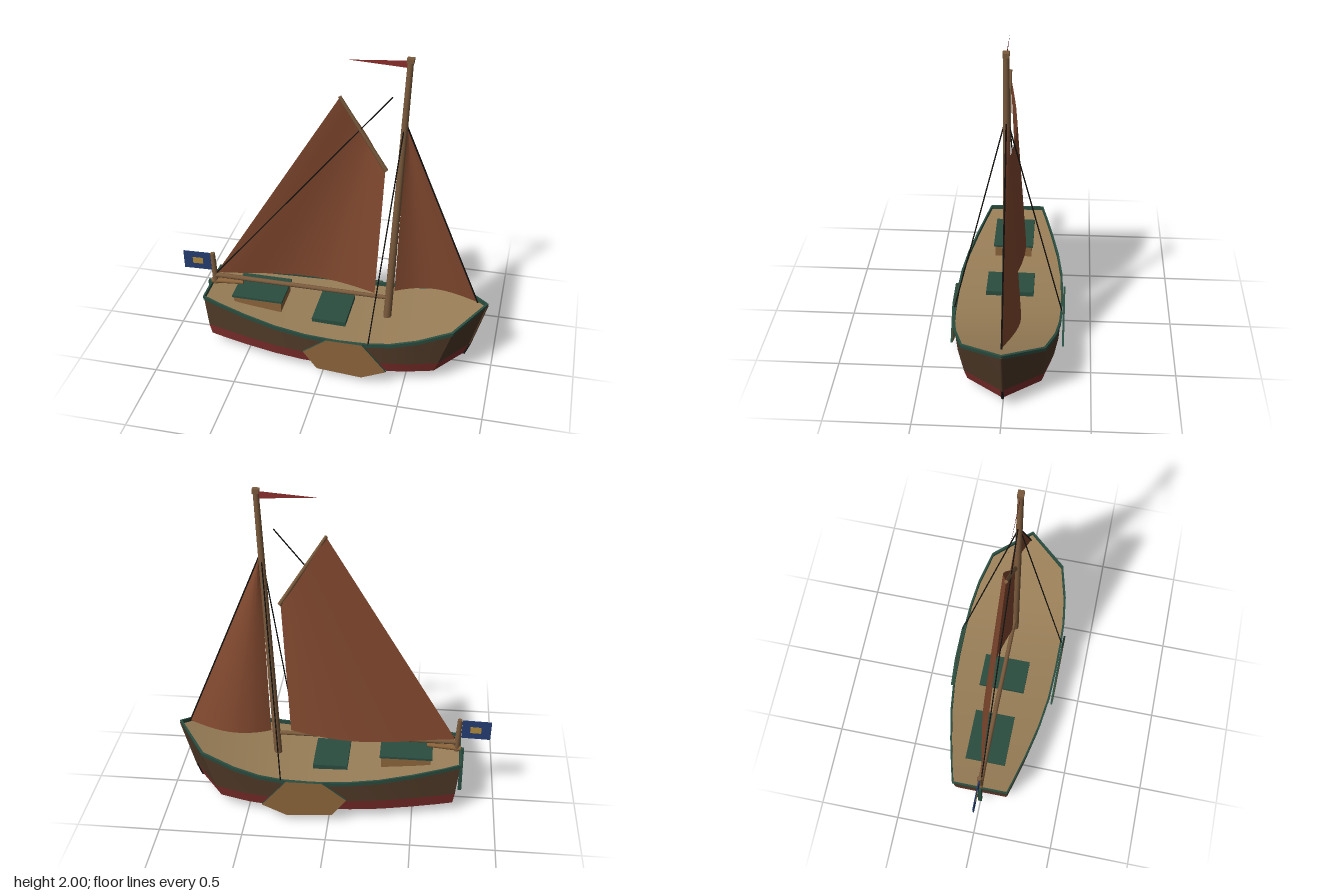
import * as THREE from 'three';
import { toCreasedNormals } from 'three/addons/utils/BufferGeometryUtils.js';

const V = (x, y, z = 0) => new THREE.Vector3(x, y, z);
const mat = (color) => new THREE.MeshStandardMaterial({ color, side: THREE.DoubleSide });
const M = {
  hull: mat(0x503a28), red: mat(0x82302d), black: mat(0x191817), deck: mat(0x9a7f58),
  green: mat(0x2a4d40), wood: mat(0x8b633a), spar: mat(0x7a5a3c), sail: mat(0x82492f),
  rope: mat(0x14120f), blue: mat(0x243c70), gold: mat(0xb08a3e), pennant: mat(0x8c2e2c),
};

// Hull stations from stern to bow: deck x, half breadth, sheer height
const STATIONS = [
  [-0.78, 0.172, 0.36], [-0.68, 0.2, 0.343], [-0.5, 0.245, 0.318], [-0.3, 0.287, 0.296],
  [-0.1, 0.313, 0.283], [0.1, 0.32, 0.278], [0.28, 0.32, 0.284], [0.42, 0.313, 0.3],
  [0.58, 0.29, 0.335], [0.775, 0.235, 0.39], [0.95, 0, 0.46],
];

export function createModel() {
  const boat = new THREE.Group();
  boat.name = 'sailingBarge';

  const add = (name, geometry, material, x = 0, y = 0, z = 0) => {
    const mesh = new THREE.Mesh(geometry, material);
    mesh.name = name;
    mesh.position.set(x, y, z);
    boat.add(mesh);
    return mesh;
  };
  const box = (name, material, w, h, d, x, y, z = 0) =>
    add(name, new THREE.BoxGeometry(w, h, d), material, x, y, z);

  // Tapered round bar between two points
  const bar = (name, material, a, b, r0, r1 = r0, sides = 10) => {
    const mid = a.clone().add(b).multiplyScalar(0.5);
    const mesh = add(name, new THREE.CylinderGeometry(r1, r0, a.distanceTo(b), sides), material, mid.x, mid.y, mid.z);
    mesh.quaternion.setFromUnitVectors(V(0, 1, 0), b.clone().sub(a).normalize());
    return mesh;
  };

  // Surface through rows of points
  const surface = (rows, crease = 0.6) => {
    const n = rows[0].length, index = [];
    for (let j = 0; j < rows.length - 1; j++) {
      for (let i = 0; i < n - 1; i++) {
        const a = j * n + i, b = a + n;
        index.push(a, a + 1, b + 1, a, b + 1, b);
      }
    }
    const g = new THREE.BufferGeometry().setFromPoints(rows.flat());
    g.setIndex(index);
    g.computeVertexNormals();
    return toCreasedNormals(g, crease);
  };

  // One waterline of the hull, as points down one side
  const side = (x0, x1, k, height, s = 1) => STATIONS.map(([x, w, sheer]) => {
    const t = (x + 0.78) / 1.73;
    return V(x0 + (x1 - x0) * t, height(sheer, 1 - (2 * t - 1) ** 2), s * w * k);
  });
  // Loop from the bow round the stern and back to the bow
  const loop = (...a) => [...side(...a).reverse(), ...side(...a, -1)];

  const sheerLine = loop(-0.78, 0.95, 1, (s) => s);
  const waterLine = loop(-0.757, 0.86, 0.975, () => 0.145);
  const chine = loop(-0.745, 0.83, 0.91, () => 0.07);
  const bilge = loop(-0.745, 0.83, 0.6, (s, c) => 0.07 - 0.036 * c);
  const keel = loop(-0.745, 0.83, 0, (s, c) => 0.066 - 0.066 * c);
  add('hullTopsides', surface([waterLine, sheerLine]), M.hull);
  add('hullBand', surface([chine, waterLine]), M.red);
  add('hullBottom', surface([keel, bilge, chine]), M.black);

  // Deck and rail
  const deckSide = (s) => side(-0.775, 0.94, 0.985, (h) => h - 0.022, s);
  add('deck', surface([deckSide(-1), deckSide(1)]), M.deck);
  add('rail', surface([
    loop(-0.782, 0.948, 1.012, (h) => h - 0.022), loop(-0.784, 0.953, 1.015, (h) => h + 0.002),
    loop(-0.773, 0.938, 0.975, (h) => h + 0.002), loop(-0.773, 0.938, 0.975, (h) => h - 0.026),
  ]), M.green);

  // Stem
  bar('stemLower', M.black, V(0.828, 0.065), V(0.86, 0.145), 0.008, 0.008, 6);
  bar('stemUpper', M.hull, V(0.86, 0.145), V(0.947, 0.45), 0.008, 0.008, 6);

  // Cabin and hatch
  box('cabin', M.wood, 0.3, 0.09, 0.23, -0.4525, 0.302);
  box('cabinRoof', M.green, 0.318, 0.014, 0.25, -0.4525, 0.353);
  box('hatch', M.green, 0.21, 0.035, 0.29, 0.005, 0.268);

  // Rudder, tiller and flagstaff
  box('rudder', M.green, 0.022, 0.305, 0.024, -0.79, 0.2125);
  bar('tiller', M.wood, V(-0.78, 0.365), V(-0.575, 0.378), 0.018, 0.013);
  bar('flagstaff', M.spar, V(-0.755, 0.35), V(-0.767, 0.57), 0.018, 0.015);
  const flag = box('flag', M.blue, 0.175, 0.122, 0.006, -0.868, 0.503);
  const patch = box('flagPatch', M.gold, 0.066, 0.042, 0.01, -0.864, 0.503);
  flag.rotation.z = patch.rotation.z = 0.03;

  // Leeboards with painted edges
  const outline = new THREE.Shape([
    [0.035, 0.285], [0.25, 0.285], [0.4, 0.108], [0.25, 0.04], [-0.025, 0.062], [-0.11, 0.175],
  ].map(([x, y]) => new THREE.Vector2(x, y)));
  const board = new THREE.ExtrudeGeometry(outline, { depth: 0.012, bevelEnabled: false });
  for (const s of [1, -1]) {
    const label = s < 0 ? 'Left' : 'Right';
    add('leeboard' + label, board, [M.wood, M.green], 0, 0, s * 0.332 - 0.006);
    bar('shroud' + label, M.rope, V(0.41, 1.63), V(0.285, 0.28, s * 0.322), 0.004, 0.004, 5);
  }

  // Mast, boom and gaff
  bar('mast', M.spar, V(0.343, 0.26), V(0.426, 1.985), 0.025, 0.017, 12);
  box('mastCap', M.spar, 0.04, 0.025, 0.036, 0.426, 1.9875);
  bar('boom', M.spar, V(-0.75, 0.41), V(0.345, 0.41), 0.016, 0.013);
  bar('gaff', M.spar, V(0.31, 1.295), V(0.038, 1.732), 0.013, 0.01);

  // Pennant
  add('pennant', surface([[V(0.415, 1.985), V(0.415, 1.942)], [V(0.092, 1.959), V(0.092, 1.958)]]), M.pennant);

  // Sail between four corners, bellied to one side
  const sail = (name, [footA, footB, headA, headB], belly, headBelly, peak = 1) => {
    const rows = [];
    for (let j = 0; j <= 12; j++) {
      const v = j / 12, row = [];
      for (let i = 0; i <= 12; i++) {
        const u = i / 12;
        const p = footA.clone().lerp(headA, v).lerp(footB.clone().lerp(headB, v), u);
        p.z -= Math.sin(Math.PI * u ** peak) * (belly + (headBelly - belly) * v);
        row.push(p);
      }
      rows.push(row);
    }
    add(name, surface(rows, 1), M.sail);
  };
  sail('mainsail', [V(-0.745, 0.43), V(0.26, 0.43), V(0.04, 1.73), V(0.305, 1.29)], 0.085, 0.045, 1.25);
  sail('foresail', [V(0.378, 0.443, -0.03), V(0.885, 0.465), V(0.42, 1.585), V(0.424, 1.585)], 0.075, 0.01, 0.9);

  // Rigging lines
  bar('forestay', M.rope, V(0.418, 1.6), V(0.888, 0.46), 0.005, 0.005, 5);
  bar('toppingLift', M.rope, V(-0.745, 0.43, 0.004), V(0.335, 1.762, 0.004), 0.004, 0.004, 5);
  return boat;
}
